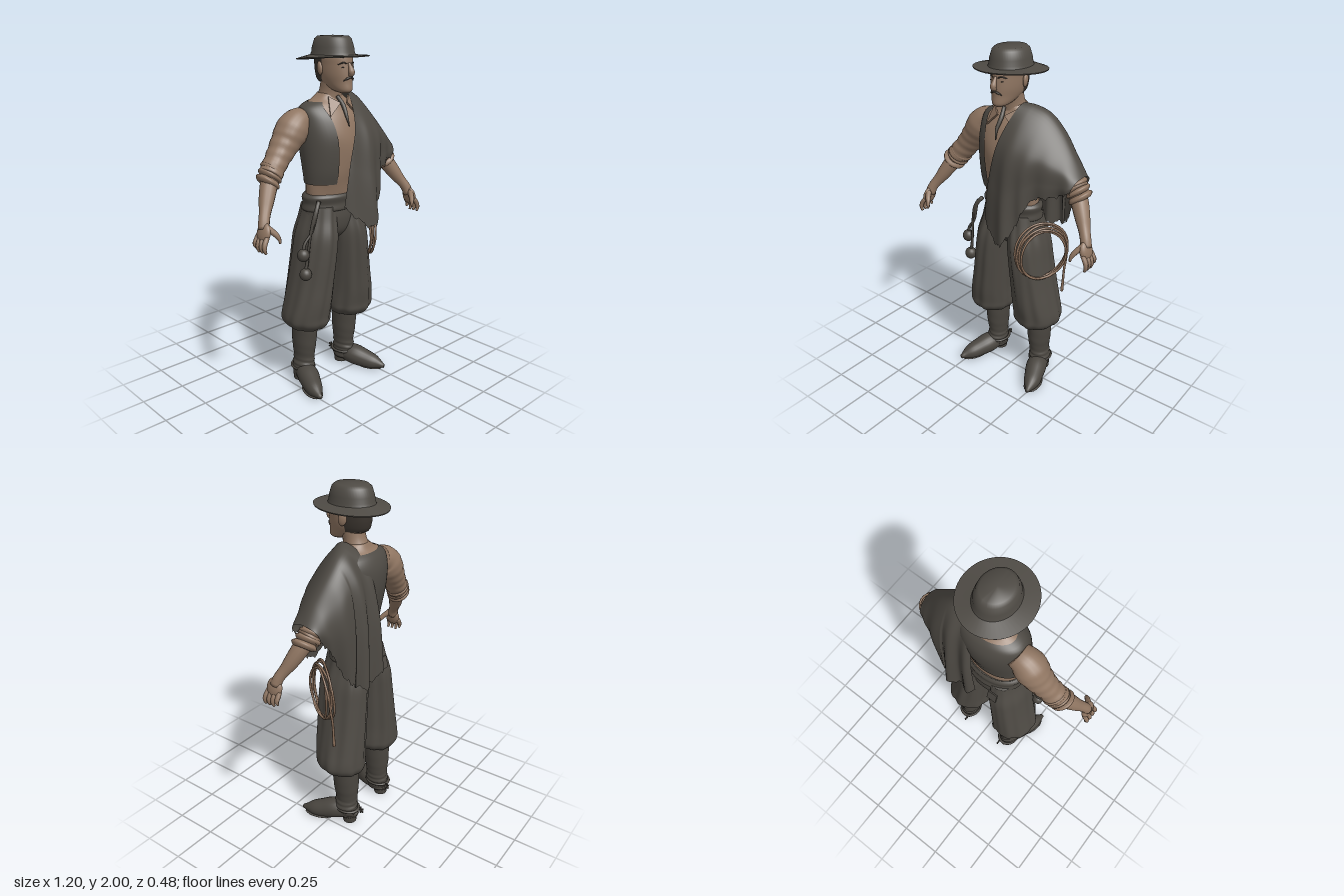
import * as THREE from 'three';
import { toCreasedNormals } from 'three/addons/utils/BufferGeometryUtils.js';

const TAU = Math.PI * 2;
const mat = (name, color, side = THREE.FrontSide) => {
  const m = new THREE.MeshStandardMaterial({ color, side });
  m.name = name;
  return m;
};

// Smooth interpolation through rows of numbers, u in 0..1
function at(rows, u) {
  const n = rows.length - 1, p = Math.min(Math.max(u, 0), 1) * n;
  const i = Math.min(Math.floor(p), n - 1), t = p - i;
  const a = rows[Math.max(i - 1, 0)], b = rows[i], c = rows[i + 1], d = rows[Math.min(i + 2, n)];
  return b.map((_, k) => 0.5 * (2 * b[k] + (c[k] - a[k]) * t + (2 * a[k] - 5 * b[k] + 4 * c[k] - d[k]) * t * t
    + (3 * b[k] - a[k] - 3 * c[k] + d[k]) * t * t * t));
}

// Surface from f(u, v) -> [x, y, z]; closed wraps u and caps both ends
function grid(f, nu, nv, closed = false) {
  const pos = [], idx = [], w = closed ? nu : nu + 1;
  for (let j = 0; j <= nv; j++) for (let i = 0; i < w; i++) pos.push(...f(i / nu, j / nv));
  for (let j = 0; j < nv; j++) for (let i = 0; i < nu; i++) {
    const a = j * w + i, b = j * w + (i + 1) % w;
    idx.push(a, b, a + w, b, b + w, a + w);
  }
  if (closed) for (const j of [0, nv]) {
    const c = [0, 0, 0], k = pos.length / 3;
    for (let i = 0; i < w; i++) for (let q = 0; q < 3; q++) c[q] += pos[(j * w + i) * 3 + q] / w;
    pos.push(...c);
    for (let i = 0; i < w; i++) {
      const a = j * w + i, b = j * w + (i + 1) % w;
      if (j) idx.push(k, a, b); else idx.push(k, b, a);
    }
  }
  const g = new THREE.BufferGeometry();
  g.setAttribute('position', new THREE.Float32BufferAttribute(pos, 3));
  g.setIndex(idx);
  g.computeVertexNormals();
  return g;
}

// Upright form: rows [cx, y, cz, rx, rz] from bottom to top
const ringPoint = (r, t, k = 1) => [r[0] + r[3] * k * Math.sin(t), r[1], r[2] + r[4] * k * Math.cos(t)];
const body = (rows, warp = () => 1, nu = 40, nv = 36) =>
  grid((u, v) => ringPoint(at(rows, v), u * TAU, warp(u * TAU, v)), nu, nv, true);

// Round limb along rows [x, y, z, radius]
function limb(rows, nu = 14, nv = 20, warp = () => 1) {
  const curve = new THREE.CatmullRomCurve3(rows.map(r => new THREE.Vector3(r[0], r[1], r[2])));
  const fr = curve.computeFrenetFrames(nv, false);
  return grid((u, v) => {
    const j = Math.round(v * nv), t = u * TAU, r = at(rows, v)[3] * warp(t, v);
    return curve.getPoint(curve.getUtoTmapping(v)).addScaledVector(fr.normals[j], r * Math.cos(t))
      .addScaledVector(fr.binormals[j], r * Math.sin(t)).toArray();
  }, nu, nv, true);
}

export function createModel() {
  const root = new THREE.Group();
  const cloth = mat('dark cloth', 0x4e4a44, THREE.DoubleSide), skin = mat('skin and shirt', 0x907662);
  const hair = mat('hair', 0x3a342e, THREE.DoubleSide), rope = mat('rope', 0x8c705b), leather = mat('leather', 0x4a4640);
  const add = (name, geo, m, p = [0, 0, 0], sc = [1, 1, 1], rot = [0, 0, 0]) => {
    const o = new THREE.Mesh(geo, m);
    o.name = name;
    o.position.set(...p); o.scale.set(...sc); o.rotation.set(...rot);
    root.add(o);
  };
  const ball = new THREE.SphereGeometry(1, 20, 14);
  const side = (rows, s) => rows.map(r => [r[0] * s, ...r.slice(1)]);

  // Shirt and open vest
  const torso = [[0, 1.1, -.025, .165, .105], [0, 1.2, -.01, .17, .11], [0, 1.3, -.005, .18, .13], [0, 1.45, -.015, .19, .15],
    [0, 1.56, -.03, .19, .14], [0, 1.63, -.04, .175, .108], [0, 1.67, -.035, .105, .075], [0, 1.7, -.03, .065, .065]];
  add('shirt', body(torso, (t, v) => 1 + .012 * Math.sin(5 * t + 20 * v)), skin);
  add('vest', grid((u, v) => {
    const open = .37 + .45 * v * v * v, t = open + u * (TAU - 2 * open);
    return ringPoint(at(torso, .17 + .64 * v), t, 1.05);
  }, 44, 24), cloth);
  add('neck', limb([[0, 1.64, -.035, .075], [0, 1.7, -.02, .062], [0, 1.79, 0, .064]], 20), skin);
  add('neckerchief', limb([[-.01, 1.685, .045, .01], [0, 1.64, .08, .012], [-.005, 1.58, .115, .009], [0, 1.53, .13, .003]]), cloth);
  for (const s of [-1, 1]) {
    const flap = new THREE.Shape([[0, 0], [.055 * s, .05], [.08 * s, -.06]].map(p => new THREE.Vector2(...p)));
    add('collar', new THREE.ExtrudeGeometry(flap, { depth: .01, bevelEnabled: false }), skin, [.02 * s, 1.65, .08], [1, 1, 1], [-.5, .4 * s, 0]);
  }

  // Head
  const head = [[0, 1.705, .09, .022, .028], [0, 1.72, .07, .045, .064], [0, 1.76, .022, .067, .11], [0, 1.8, .012, .078, .12],
    [0, 1.85, .008, .083, .12], [0, 1.9, .004, .085, .116], [0, 1.94, 0, .06, .09]];
  add('head', body(head), skin);
  add('hair', grid((u, v) => {
    const t0 = 1.8 - .3 * v;
    return ringPoint(at(head, .34 + .5 * v), t0 + u * (TAU - 2 * t0), 1.035);
  }, 28, 10), hair);
  add('nose', limb([[0, 1.86, .122, .008], [0, 1.83, .138, .012], [0, 1.808, .143, .017], [0, 1.8, .13, .012]]), skin);
  add('moustache', limb([[-.035, 1.77, .118, .002], [-.018, 1.782, .132, .006], [0, 1.787, .136, .005], [.018, 1.782, .132, .006], [.035, 1.77, .118, .002]], 10), hair);
  for (const s of [-1, 1]) {
    add('eyebrow', limb(side([[.015, 1.857, .125, .003], [.035, 1.862, .117, .004], [.056, 1.853, .097, .002]], s), 8), hair);
    add('eye', ball, hair, [.034 * s, 1.838, .115], [.01, .003, .005]);
    add('ear', ball, skin, [.09 * s, 1.832, -.005], [.013, .036, .023], [-.15, .35 * s, 0]);
  }

  // Flat crowned hat
  const profile = [[.07, 1.885], [.19, 1.883], [.192, 1.889], [.11, 1.9], [.105, 1.915], [.102, 1.94], [.09, 1.982], [.075, 1.996], [0, 2]];
  const hat = new THREE.LatheGeometry(profile.map(p => new THREE.Vector2(...p)), 48), hp = hat.attributes.position;
  for (let i = 0; i < hp.count; i++) {
    const x = hp.getX(i), z = hp.getZ(i), r = Math.hypot(x, z);
    hp.setZ(i, z * (r < .12 ? 1.2 : 1.05));
    if (r > .15) hp.setY(i, hp.getY(i) + .07 * z + .02 * Math.abs(x) - .004);
  }
  hat.computeVertexNormals();
  add('hat', toCreasedNormals(hat, .7), cloth);

  // Arms, rolled cuffs and hands
  for (const s of [-1, 1]) {
    const k = s > 0 ? .82 : 1, drop = s > 0 ? .02 : 0;
    const sleeve = [[.165, 1.565, -.055, .07], [.215, 1.545, -.055, .09 * k], [.29, 1.455, -.055, .078 * k], [.36, 1.37, -.045, .066 * k], [.42, 1.3, -.03, .064]];
    add('sleeve', limb(side(sleeve, s).map(([x, y, z, r], i) => [x, y - (i < 4 ? drop : 0), z, r]),
      22, 40, (t, v) => 1 + .035 * Math.sin(40 * v + 2 * Math.sin(t)) * v), skin);
    for (let i = 0; i < 3; i++) {
      const x = .385 + .022 * i, y = 1.34 - .027 * i, z = -.04 + .009 * i;
      add('rolledCuff', limb(side([[x, y, z, .055], [x + .006, y - .008, z, .067], [x + .016, y - .02, z, .067], [x + .022, y - .028, z, .05]], s), 22, 8), skin);
    }
    add('forearm', limb(side([[.41, 1.31, -.03, .046], [.455, 1.24, 0, .046], [.5, 1.165, .035, .04], [.54, 1.1, .07, .03], [.553, 1.06, .082, .03]], s)), skin);
    add('palm', ball, skin, [.557 * s, 1.045, .087], [.024, .056, .048], [0, 0, .25 * s]);
    for (let i = 0; i < 4; i++) {
      const z = .05 + .024 * i, d = i === 0 ? .015 : 0;
      add('finger', limb(side([[.562, 1.03, z, .013], [.584, .995, z + .002 * i, .0135], [.588, .97 + d, z + .003 * i, .012], [.579, .95 + d, z + .003 * i, .007]], s), 8, 8), skin);
    }
    add('thumb', limb(side([[.55, 1.075, .1, .019], [.523, 1.045, .135, .016], [.508, 1.015, .152, .013], [.507, .995, .157, .006]], s), 8, 8), skin);
  }

  // Baggy trousers and belt
  add('hips', body([[0, .87, -.03, .04, .04], [0, .93, -.028, .15, .1], [0, 1.01, -.025, .177, .118], [0, 1.1, -.025, .175, .112]]), cloth);
  const leg = [[.163, .365, -.055, .07, .08], [.165, .372, -.052, .1, .115], [.167, .41, -.047, .133, .143], [.167, .455, -.045, .138, .146], [.158, .54, -.038, .129, .15],
    [.142, .66, -.033, .119, .151], [.125, .8, -.027, .111, .152], [.11, .92, -.025, .106, .148], [.095, 1.02, -.025, .09, .125], [.085, 1.09, -.025, .085, .112]];
  for (const s of [-1, 1]) add('trouserLeg', body(side(leg, s), (t, v) =>
    1 + .022 * Math.sin(8 * t + 3 * v * s) + .016 * Math.sin(13 * t - 4 * v), 72, 44), cloth);
  add('belt', body([[0, 1.06, -.025, .172, .112], [0, 1.07, -.025, .186, .125], [0, 1.105, -.022, .181, .118], [0, 1.14, -.02, .186, .122], [0, 1.16, -.02, .168, .108]]), leather);
  add('backPocket', new THREE.BoxGeometry(.06, .07, .008), cloth, [-.085, .99, -.16], [1, 1, 1], [.25, 0, 0]);

  // Boots and spurs
  for (const s of [-1, 1]) {
    add('bootShaft', body(side([[.165, .04, -.085, .05, .065], [.167, .1, -.078, .06, .072], [.162, .16, -.078, .056, .068], [.162, .25, -.075, .065, .078], [.16, .4, -.07, .074, .085]], s),
      (t, v) => 1 + .04 * Math.sin(45 * v + 2 * Math.sin(t)) * (v < .5 ? 1 : .15)), leather);
    const foot = limb(side([[.16, .05, -.155, .02], [.165, .06, -.125, .048], [.185, .065, -.03, .062], [.23, .04, .08, .057], [.25, .032, .135, .045], [.262, .025, .18, .012]], s), 20, 24);
    const fp = foot.attributes.position;
    for (let i = 0; i < fp.count; i++) fp.setY(i, Math.max(fp.getY(i), fp.getZ(i) > -.06 ? .006 : .03));
    foot.computeVertexNormals();
    add('bootFoot', foot, leather);
    add('bootHeel', new THREE.CylinderGeometry(.045, .04, .05, 20), leather, [.168 * s, .025, -.105]);
    add('bootSole', ball, leather, [.232 * s, .008, .075], [.052, .008, .095], [0, .3 * s, 0]);
    add('spurStrap', new THREE.TorusGeometry(.065, .008, 8, 28), leather, [.165 * s, .09, -.085], [.95, 1.12, 1], [Math.PI / 2, 0, 0]);
    for (let i = 0; i < 3; i++) add('spurSpike', new THREE.BoxGeometry(.007, .045, .008), leather, [.14 * s, .08, -.165], [1, 1, 1], [i * Math.PI / 3, 0, 0]);
  }

  // Poncho over the left shoulder: columns from the neck outwards, front hem to back hem
  const poncho = [
    [[-.06, 1.09, .155], [-.025, 1.32, .158], [.03, 1.54, .14], [.08, 1.71, .01], [.05, 1.62, -.13], [.025, 1.36, -.195], [.0, 1.05, -.21]],
    [[.085, .975, .235], [.085, 1.26, .205], [.11, 1.52, .155], [.14, 1.7, -.02], [.12, 1.59, -.15], [.11, 1.32, -.205], [.11, .96, -.215]],
    [[.17, 1.09, .195], [.175, 1.29, .18], [.195, 1.49, .14], [.215, 1.665, -.04], [.205, 1.56, -.155], [.2, 1.32, -.2], [.21, .98, -.21]],
    [[.24, 1.25, .14], [.255, 1.34, .13], [.28, 1.47, .1], [.3, 1.585, -.045], [.295, 1.5, -.14], [.3, 1.32, -.175], [.275, 1.04, -.165]],
    [[.345, 1.28, .085], [.36, 1.34, .085], [.375, 1.42, .06], [.385, 1.48, -.03], [.385, 1.43, -.1], [.375, 1.33, -.135], [.345, 1.2, -.13]],
    [[.425, 1.32, .06], [.435, 1.345, .06], [.445, 1.375, .03], [.45, 1.385, -.03], [.445, 1.37, -.08], [.435, 1.345, -.11], [.42, 1.31, -.115]]];
  add('poncho', grid((u, v) => {
    const p = at(poncho.map(c => at(c, v)), u), back = Math.max(0, v - .56) * 2.2, front = Math.max(0, .4 - v) * 2;
    p[2] -= back * .024 * Math.cos(TAU * (u - .08) / .25) * (u < .45 ? 1 : .25);
    p[2] += front * .01 * Math.sin(u * 28 + v * 5);
    if (v < .001 || v > .999) p[1] += .009 * Math.sin(u * 67) + .006 * Math.sin(u * 143);
    return p;
  }, 72, 64), cloth);

  // Coiled lasso on the left hip
  for (let k = 0; k < 5; k++) {
    const pts = [];
    for (let i = 0; i < 24; i++) {
      const t = i / 24 * TAU, r = .157 - .006 * k, c = Math.cos(t) * r, o = .008 * Math.sin(2 * t + 2 * k) + .007 * (k - 2);
      pts.push(new THREE.Vector3(.245 + c * .53 + o * .85, .905 + Math.sin(t) * (r + .012) - .005 * k, .03 - c * .85 + o * .53));
    }
    add('lassoCoil', new THREE.TubeGeometry(new THREE.CatmullRomCurve3(pts, true), 64, .0065, 7, true), rope);
  }
  add('lassoTail', limb([[.3, 1, -.07, .006], [.325, .88, -.09, .006], [.31, .76, -.095, .007], [.305, .68, -.095, .007], [.3, .61, -.095, .009]], 8), rope);

  // Throwing balls on cords at the right hip
  [[-.275, .85], [-.26, .735]].forEach(([x, y], i) => {
    add('throwingBall', ball, leather, [x, y, .06], [.034, .036, .034]);
    add('ballCord', limb([[-.16, 1.13, .06, .012], [-.19, 1.09, .075, .012], [-.215 - .01 * i, .98, .07, .008], [x + .01, y + .06, .06, .008], [x, y + .02, .06, .01]], 8, 24), leather);
  });
  return root;
}
